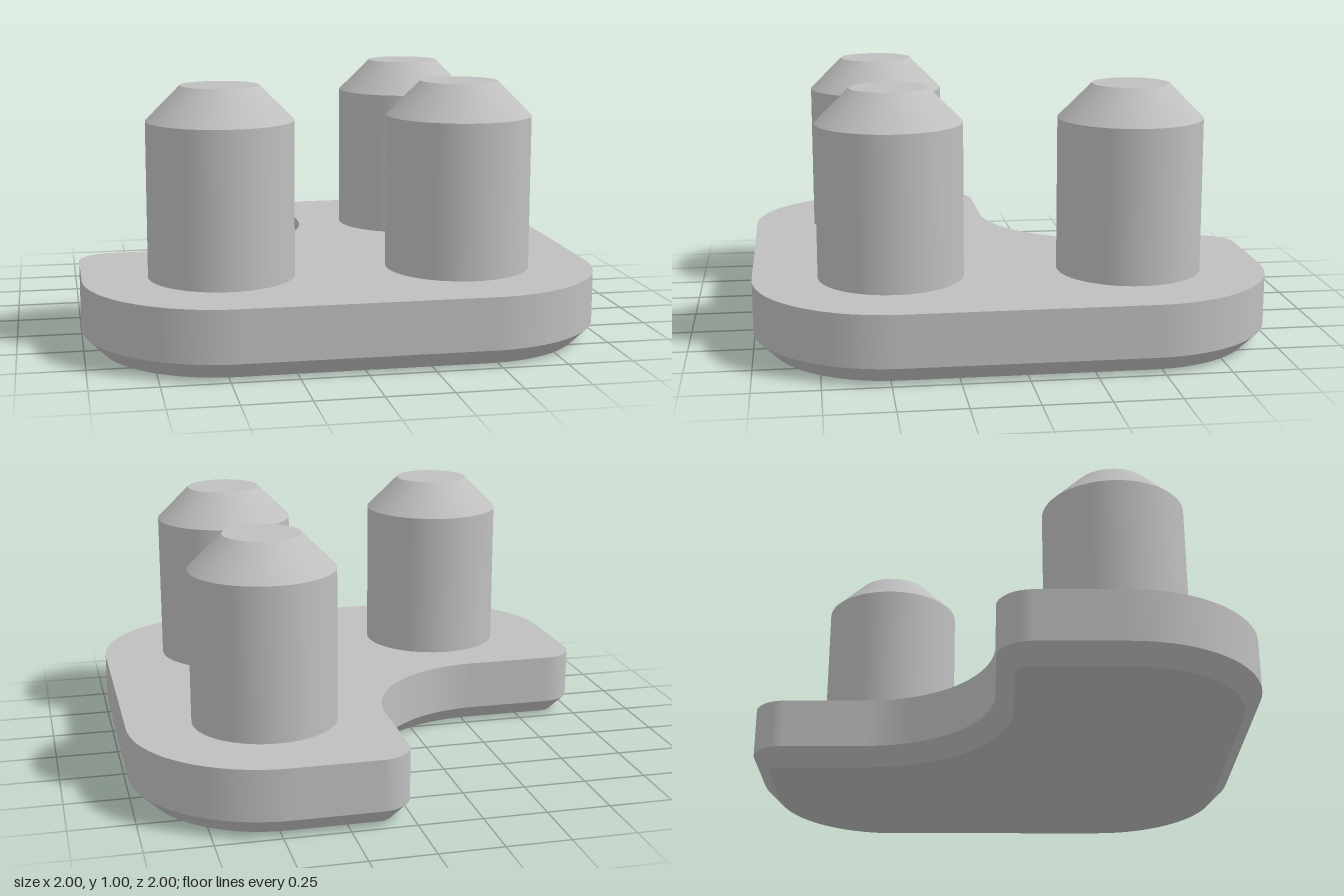
import * as THREE from 'three';
import { mergeGeometries } from 'three/addons/utils/BufferGeometryUtils.js';

const BASE_TOP = 0.267, CHAMFER = 0.067, SHOULDER = 0.867, TOP = 1;
const BIG = 0.533, SMALL = 0.133, C = 0.467;

// Outline arcs, seen from above with the back up: centre, radius, start angle in degrees, turn (+1 convex, -1 concave)
const arcs = [
  [C, -C, BIG, -90, 1],
  [C, C, BIG, 0, 1],
  [SMALL, 1 - SMALL, SMALL, 90, 1],
  [-BIG, BIG, BIG, 0, -1],
  [SMALL - 1, -SMALL, SMALL, 90, 1],
  [-C, -C, BIG, 180, 1],
];

// Outline points with outward normals, moved inwards by inset
function outline(inset) {
  const steps = 20, ring = [];
  for (const [cx, cy, radius, start, turn] of arcs) {
    const r = radius - turn * inset;
    for (let i = 0; i <= steps; i++) {
      const a = THREE.MathUtils.degToRad(start + turn * 90 * i / steps);
      const c = Math.cos(a), s = Math.sin(a);
      ring.push({ p: new THREE.Vector2(cx + r * c, cy + r * s), n: new THREE.Vector2(turn * c, turn * s) });
    }
  }
  return ring;
}

// Smooth wall between two outlines
function band(lower, y0, upper, y1, slope) {
  const position = [], normal = [], uv = [], index = [], count = lower.length;
  for (const [ring, y] of [[lower, y0], [upper, y1]]) {
    ring.forEach(({ p, n }, i) => {
      position.push(p.x, y, -p.y);
      normal.push(...new THREE.Vector3(n.x, slope, -n.y).normalize().toArray());
      uv.push(i / count, y);
    });
  }
  for (let i = 0; i < count; i++) {
    const j = (i + 1) % count;
    index.push(i, j, count + j, i, count + j, count + i);
  }
  const g = new THREE.BufferGeometry();
  g.setAttribute('position', new THREE.Float32BufferAttribute(position, 3));
  g.setAttribute('normal', new THREE.Float32BufferAttribute(normal, 3));
  g.setAttribute('uv', new THREE.Float32BufferAttribute(uv, 2));
  g.setIndex(index);
  return g;
}

// Flat face filling an outline, facing up or down
function cap(ring, y, up) {
  const shape = new THREE.Shape(ring.map(({ p }) => new THREE.Vector2(p.x, up ? p.y : -p.y)));
  return new THREE.ShapeGeometry(shape).rotateX(up ? -Math.PI / 2 : Math.PI / 2).translate(0, y, 0);
}

function baseGeometry() {
  const full = outline(0), inner = outline(CHAMFER);
  return mergeGeometries([
    cap(full, BASE_TOP, true),
    band(full, CHAMFER, full, BASE_TOP, 0),
    band(inner, 0, full, CHAMFER, -1),
    cap(inner, 0, false),
  ]);
}

// Straight shaft, chamfered tip and flat end
function pegGeometry() {
  const r = 0.282, tip = 0.15, sides = 64;
  const shaft = SHOULDER - BASE_TOP, cone = TOP - SHOULDER;
  return mergeGeometries([
    new THREE.CylinderGeometry(r, r, shaft, sides, 1, true).translate(0, BASE_TOP + shaft / 2, 0),
    new THREE.CylinderGeometry(tip, r, cone, sides, 1, true).translate(0, SHOULDER + cone / 2, 0),
    new THREE.CircleGeometry(tip, sides).rotateX(-Math.PI / 2).translate(0, TOP, 0),
  ]);
}

export function createModel() {
  const grey = new THREE.MeshStandardMaterial({ color: 0xbfbfbf });
  grey.name = 'grey';
  const model = new THREE.Group();
  model.name = 'cornerConnector';

  const base = new THREE.Mesh(baseGeometry(), grey);
  base.name = 'basePlate';
  model.add(base);

  const peg = pegGeometry();
  for (const [name, x, z] of [['frontRightPeg', -C, C], ['frontLeftPeg', C, C], ['backLeftPeg', C, -C]]) {
    const mesh = new THREE.Mesh(peg, grey);
    mesh.name = name;
    mesh.position.set(x, 0, z);
    model.add(mesh);
  }
  return model;
}
